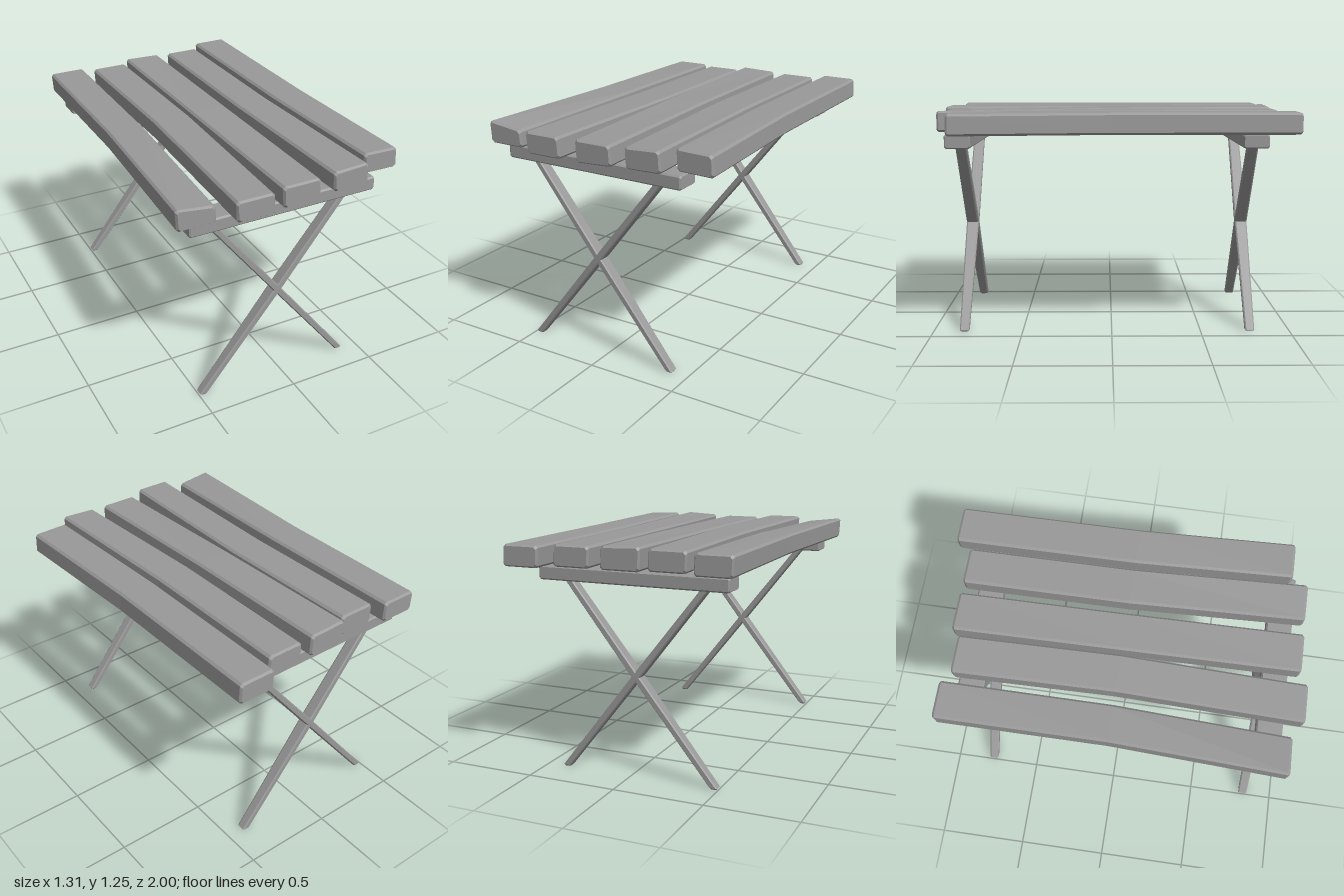
import * as THREE from 'three';

const BEVEL = 0.012;

// Cuts the corners of a counter-clockwise quad [[u, v] x 4], giving eight points.
function chamfer(quad, cut) {
  const out = [];
  quad.forEach((p, i) => {
    for (const q of [quad[(i + 3) % 4], quad[(i + 1) % 4]]) {
      const t = cut / Math.hypot(q[0] - p[0], q[1] - p[1]);
      out.push([p[0] + (q[0] - p[0]) * t, p[1] + (q[1] - p[1]) * t]);
    }
  });
  return out;
}

// Lofts sections { at, quad } along an axis, with bevelled edges and closed ends.
// place(u, v, at) maps a section point to [x, y, z].
function loft(name, sections, place, material, cut = BEVEL) {
  const first = sections[0], last = sections[sections.length - 1];
  const inset = (quad) => {
    const c = [0, 1].map(k => quad.reduce((s, p) => s + p[k], 0) / 4);
    return quad.map(p => p.map((v, k) => v - Math.sign(v - c[k]) * cut * 0.7));
  };
  const all = [
    { at: first.at, quad: inset(first.quad) },
    { at: first.at + cut, quad: first.quad },
    ...sections.slice(1, -1),
    { at: last.at - cut, quad: last.quad },
    { at: last.at, quad: inset(last.quad) },
  ];
  const positions = [], index = [], n = 8;
  for (const s of all) {
    for (const [u, v] of chamfer(s.quad, cut)) positions.push(...place(u, v, s.at));
  }
  for (let r = 0; r < all.length - 1; r++) {
    for (let i = 0; i < n; i++) {
      const a = r * n + i, b = r * n + (i + 1) % n;
      index.push(a, b, b + n, a, b + n, a + n);
    }
  }
  const end = (all.length - 1) * n;
  for (let i = 1; i < n - 1; i++) {
    index.push(0, i + 1, i, end, end + i, end + i + 1);
  }
  const indexed = new THREE.BufferGeometry();
  indexed.setAttribute('position', new THREE.Float32BufferAttribute(positions, 3));
  indexed.setIndex(index);
  const geometry = indexed.toNonIndexed();
  geometry.computeVertexNormals();
  const mesh = new THREE.Mesh(geometry, material);
  mesh.name = name;
  return mesh;
}

const rect = (u0, u1, v0, v1) => [[u0, v0], [u1, v0], [u1, v1], [u0, v1]];

// Each plank: back, middle and front section as
// [z, left x, right x, bottom y left, bottom y right, top y left, top y right]
const PLANKS = [
  [[-0.92, -0.62, -0.41, 1.12, 1.12, 1.235, 1.235],
   [0, -0.62, -0.41, 1.12, 1.12, 1.235, 1.23],
   [0.94, -0.66, -0.445, 1.115, 1.115, 1.235, 1.21]],
  [[-0.875, -0.36, -0.145, 1.12, 1.12, 1.235, 1.235],
   [0, -0.345, -0.13, 1.12, 1.12, 1.235, 1.235],
   [0.995, -0.37, -0.155, 1.115, 1.115, 1.23, 1.23]],
  [[-0.915, -0.125, 0.1, 1.12, 1.12, 1.247, 1.24],
   [0, -0.11, 0.11, 1.12, 1.12, 1.237, 1.235],
   [0.955, -0.09, 0.13, 1.1, 1.11, 1.22, 1.22]],
  [[-0.915, 0.16, 0.37, 1.12, 1.12, 1.235, 1.235],
   [0, 0.165, 0.375, 1.12, 1.12, 1.235, 1.235],
   [0.95, 0.205, 0.415, 1.115, 1.12, 1.225, 1.235]],
  [[-1.0, 0.405, 0.615, 1.12, 1.12, 1.235, 1.235],
   [0, 0.41, 0.62, 1.12, 1.12, 1.235, 1.235],
   [0.865, 0.445, 0.655, 1.12, 1.115, 1.235, 1.23]],
];

export function createModel() {
  const wood = new THREE.MeshStandardMaterial({ color: 0x999999 });
  wood.name = 'grey wood';
  const table = new THREE.Group();
  table.name = 'table';

  // Uneven, slightly bent top planks
  PLANKS.forEach((rows, i) => {
    const sections = rows.map(([z, x0, x1, bl, br, tl, tr]) => ({
      at: z,
      quad: [[x0 + 0.006, bl], [x1, br], [x1 - 0.006, tr], [x0, tl]],
    }));
    table.add(loft(`plank${i + 1}`, sections, (x, y, z) => [x, y, z], wood));
  });

  // A cross bar with a pair of crossed legs at each end
  for (const [side, z] of [['front', 0.828], ['back', -0.778]]) {
    const frame = new THREE.Group();
    frame.name = `${side}Trestle`;
    frame.position.z = z;

    const barSection = rect(1.037, 1.112, -0.07, 0.07);
    frame.add(loft('crossBar', [{ at: -0.57, quad: barSection }, { at: 0.495, quad: barSection }],
      (y, w, x) => [x, y, w], wood, 0.008));

    for (const [name, xBottom, xTop] of [['leftLeg', 0.387, -0.436], ['rightLeg', -0.473, 0.355]]) {
      // Height, half depth and half width; thickest around the crossing
      const sections = [[0, 0.026, 0.022], [0.555, 0.035, 0.024], [1.06, 0.031, 0.022]].map(([y, d, w]) => {
        const x = xBottom + (xTop - xBottom) * y / 1.06;
        return { at: y, quad: rect(-d, d, x - w, x + w) };
      });
      frame.add(loft(name, sections, (w, x, y) => [x, y, w], wood, 0.007));
    }
    table.add(frame);
  }
  return table;
}
